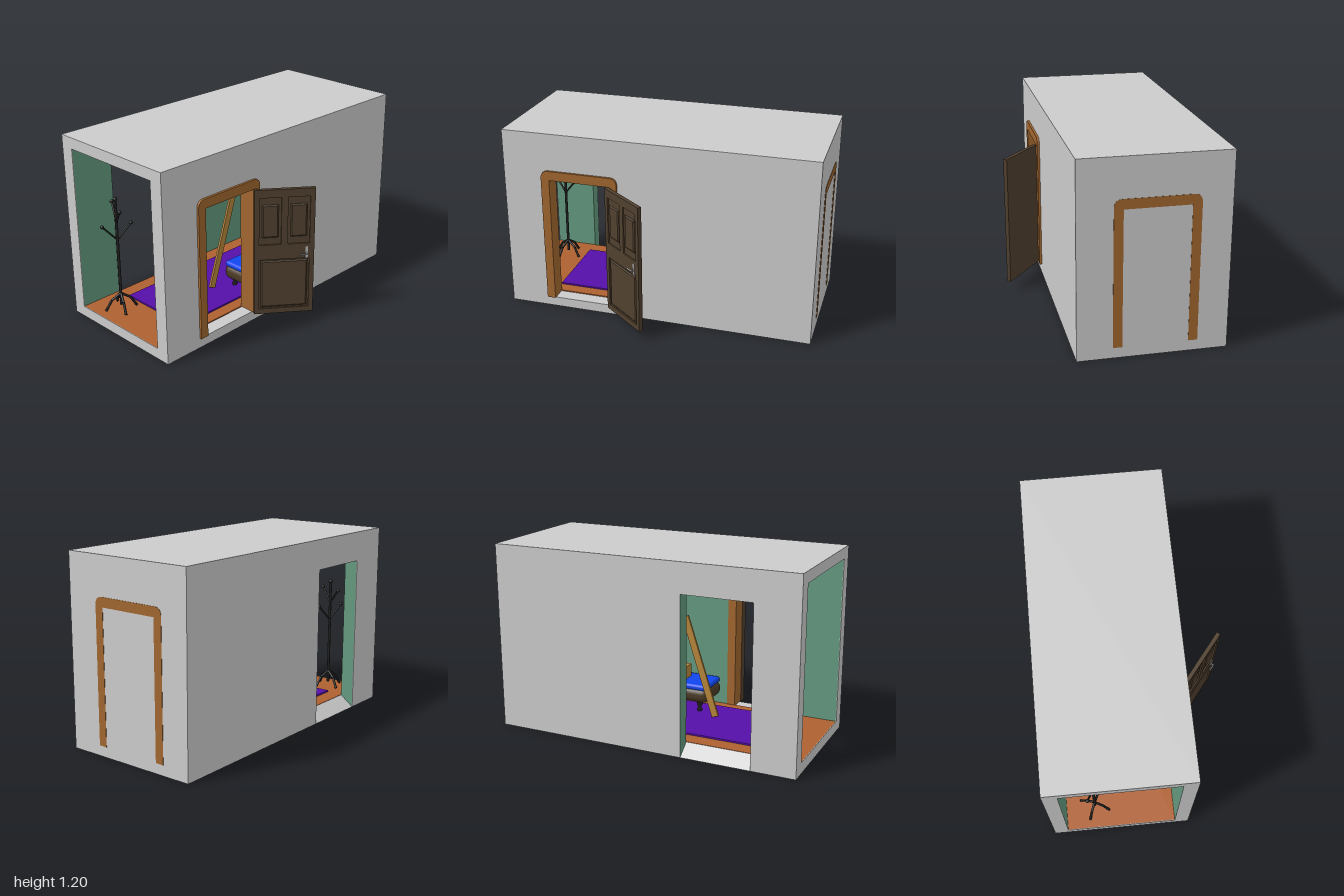
import * as THREE from 'three';
import { RoundedBoxGeometry } from 'three/addons/geometries/RoundedBoxGeometry.js';

const mat = (color) => new THREE.MeshStandardMaterial({ color });
const GREY = mat(0xcccccc), GREEN = mat(0x64997f), WOOD = mat(0xa1662f), DOOR = mat(0x50402e);
const FLOOR = mat(0xae602f), RUG = mat(0x5510a8), BLUE = mat(0x1146f0), DARK = mat(0x202020);
const TAN = mat(0xb8863c), BROWN = mat(0x4a3a24), SILVER = mat(0xb4b4b4);

function add(parent, name, geometry, material, x = 0, y = 0, z = 0) {
  const mesh = new THREE.Mesh(geometry, material);
  mesh.name = name;
  mesh.position.set(x, y, z);
  parent.add(mesh);
  return mesh;
}

// Box given by its two opposite corners
function block(parent, name, material, [x0, y0, z0], [x1, y1, z1]) {
  const g = new THREE.BoxGeometry(x1 - x0, y1 - y0, z1 - z0);
  return add(parent, name, g, material, (x0 + x1) / 2, (y0 + y1) / 2, (z0 + z1) / 2);
}

// Round bar between two points
function rod(parent, name, material, a, b, r0, r1 = r0) {
  const p = new THREE.Vector3(...a), q = new THREE.Vector3(...b), d = q.clone().sub(p);
  const bar = add(parent, name, new THREE.CylinderGeometry(r1, r0, d.length(), 12), material);
  bar.position.copy(p).add(q).multiplyScalar(0.5);
  bar.quaternion.setFromUnitVectors(new THREE.Vector3(0, 1, 0), d.normalize());
  return bar;
}

const poly = (pts) => pts.map(([x, y]) => new THREE.Vector2(x, y));
const extrude = (shape, depth) =>
  new THREE.ExtrudeGeometry(shape, { depth, bevelEnabled: false, curveSegments: 8 });
const rect = (x0, y0, x1, y1) => poly([[x0, y0], [x1, y0], [x1, y1], [x0, y1]]);

const Y0 = 0.01, Y1 = 1.21, ZB = -0.58, ZF = 0.31, T = 0.09, SKIN = 0.004;

// Long wall with an opening: thin grey outside, green body
function longWall(name, outline, zOuter, dir) {
  const wall = new THREE.Group();
  wall.name = name;
  const skinZ = dir > 0 ? zOuter - SKIN : zOuter;
  const bodyZ = dir > 0 ? zOuter - T : zOuter + SKIN;
  add(wall, name + 'Outside', extrude(outline, SKIN), GREY, 0, 0, skinZ);
  add(wall, name + 'Inside', extrude(outline, T - SKIN), GREEN, 0, 0, bodyZ);
  return wall;
}

// Door surround with rounded outer corners, centred on x = 0
function doorFrame(name, depth) {
  const w = 0.25, i = 0.195, b = 0.075, top = 0.97, r = 0.05;
  const s = new THREE.Shape();
  s.moveTo(-w, b);
  s.lineTo(-i, b);
  s.lineTo(-i, 0.91);
  s.lineTo(i, 0.91);
  s.lineTo(i, b);
  s.lineTo(w, b);
  s.lineTo(w, top - r);
  s.quadraticCurveTo(w, top, w - r, top);
  s.lineTo(-w + r, top);
  s.quadraticCurveTo(-w, top, -w, top - r);
  const g = extrude(s, depth);
  g.translate(0, 0, -depth);
  const frame = new THREE.Mesh(g, WOOD);
  frame.name = name;
  return frame;
}

function buildShell() {
  const shell = new THREE.Group();
  shell.name = 'room';

  const front = new THREE.Shape(rect(-0.996, Y0, 0.996, Y1));
  front.holes.push(new THREE.Path(rect(-0.72, 0.07, -0.27, 0.94)));
  shell.add(longWall('frontWall', front, ZF, 1));

  const back = new THREE.Shape(poly([[-0.996, Y0], [-0.72, Y0], [-0.72, 1.02], [-0.27, 1.02],
    [-0.27, Y0], [0.996, Y0], [0.996, Y1], [-0.996, Y1]]));
  shell.add(longWall('backWall', back, ZB, -1));

  // Solid end, and the grey rim around the open end
  block(shell, 'endWall', GREY, [0.99, Y0, ZB], [0.998, Y1, ZF]);
  block(shell, 'endWallInside', GREEN, [0.91, 0.075, ZB + T], [0.99, 1.14, ZF - T]);
  const rim = new THREE.Shape(rect(ZB, Y0, ZF, Y1));
  rim.holes.push(new THREE.Path(rect(ZB + T, 0.08, ZF - T, 1.14)));
  add(shell, 'openEndRim', extrude(rim, SKIN), GREY, -0.996).rotation.y = -Math.PI / 2;
  block(shell, 'ceiling', GREY, [-0.996, 1.14, ZB + T], [0.99, Y1, ZF - T]);
  block(shell, 'roof', GREY, [-1, Y1 - 0.002, ZB], [0.998, Y1 + 0.001, ZF]);
  block(shell, 'base', GREY, [-0.996, Y0, ZB + T], [0.99, 0.07, ZF - T]);
  block(shell, 'floor', FLOOR, [-0.996, 0.07, ZB + T], [0.92, 0.08, ZF - T]);
  block(shell, 'frontSill', GREY, [-0.72, 0.05, ZF - T], [-0.27, 0.073, ZF]);

  // Sloping step in the back opening
  const slope = new THREE.Shape(poly([[0, 0], [T, 0], [T, 0.068]]));
  const step = add(shell, 'backStep', extrude(slope, 0.45), GREY, -0.27, Y0, ZB);
  step.rotation.y = -Math.PI / 2;

  const doorway = doorFrame('frontDoorFrame', 0.11);
  doorway.position.set(-0.495, 0, 0.325);
  const endFrame = doorFrame('endDoorFrame', 0.1);
  endFrame.rotation.y = Math.PI / 2;
  endFrame.position.set(1, 0, -0.15);
  shell.add(doorway, endFrame);
  return shell;
}

// Open door, built along +x from the hinge with its panelled face towards +z
function buildDoor() {
  const door = new THREE.Group();
  door.name = 'door';
  const W = 0.37, panels = [[0.03, 0.55, 0.165, 0.86], [0.205, 0.55, 0.34, 0.86], [0.03, 0.11, 0.34, 0.45]];
  const face = new THREE.Shape(rect(0, 0.075, W, 0.912));
  for (const p of panels) face.holes.push(new THREE.Path(rect(...p)));
  block(door, 'doorCore', DOOR, [0, 0.075, -0.013], [W, 0.912, 0.004]);
  add(door, 'doorFace', extrude(face, 0.009), DOOR, 0, 0, 0.004);
  panels.forEach(([x0, y0, x1, y1], k) => {
    const m = k < 2 ? 0.025 : 0.018, my = k < 2 ? 0.055 : 0.018;
    // Raised centre of the panel with sloping sides
    const g = new THREE.ExtrudeGeometry(new THREE.Shape(rect(x0 + m, y0 + my, x1 - m, y1 - my)),
      { depth: 0.001, bevelThickness: 0.006, bevelSize: 0.008, bevelSegments: 1 });
    add(door, 'doorPanel', g, DOOR, 0, 0, 0.005);
  });
  block(door, 'handlePlate', SILVER, [0.315, 0.45, 0.013], [0.33, 0.53, 0.017]);
  rod(door, 'handleStem', SILVER, [0.322, 0.485, 0.015], [0.322, 0.485, 0.035], 0.005);
  rod(door, 'handleLever', SILVER, [0.325, 0.485, 0.034], [0.28, 0.485, 0.034], 0.005);
  door.position.set(-0.307, 0, 0.335);
  door.rotation.y = -0.67;
  return door;
}

function buildCoatRack() {
  const rack = new THREE.Group();
  rack.name = 'coatRack';
  rod(rack, 'pole', DARK, [0, 0.11, 0], [0, 0.82, 0], 0.009);
  add(rack, 'poleTop', new THREE.SphereGeometry(0.014, 12, 8), DARK, 0, 0.83, 0);
  for (let k = 0; k < 4; k++) {
    const a = k * Math.PI / 2 + 0.4, c = Math.cos(a), s = Math.sin(a);
    rod(rack, 'foot', DARK, [0, 0.19, 0], [0.06 * c, 0.15, 0.06 * s], 0.008);
    rod(rack, 'foot', DARK, [0.06 * c, 0.15, 0.06 * s], [0.1 * c, 0.085, 0.1 * s], 0.008);
    const y = k % 2 ? 0.68 : 0.56;
    rod(rack, 'arm', DARK, [0, y, 0], [0.09 * c, y + 0.1, 0.09 * s], 0.006);
    add(rack, 'armTip', new THREE.SphereGeometry(0.012, 12, 8), DARK, 0.09 * c, y + 0.1, 0.09 * s);
  }
  rack.position.set(-0.85, 0, -0.3);
  return rack;
}

function buildFurniture() {
  const set = new THREE.Group();
  set.name = 'furniture';
  block(set, 'rug', RUG, [-0.72, 0.08, -0.385], [0.5, 0.09, 0.14]);

  // Padded bench on turned legs
  add(set, 'benchBody', new RoundedBoxGeometry(0.75, 0.1, 0.25, 4, 0.045), BROWN, 0.165, 0.2, 0.085);
  add(set, 'benchCushion', new RoundedBoxGeometry(0.73, 0.04, 0.235, 3, 0.018), BLUE, 0.165, 0.255, 0.085);
  const leg = new THREE.LatheGeometry(poly([[0, 0], [0.012, 0], [0.018, 0.015], [0.01, 0.03],
    [0.018, 0.05], [0.018, 0.08]]), 12);
  for (const x of [-0.14, 0.47]) for (const z of [0, 0.17]) add(set, 'benchLeg', leg, DARK, x, 0.085, z);

  // Parcel with a ribbon, and a leaning plank
  block(set, 'parcel', TAN, [-0.02, 0.273, 0.03], [0.14, 0.36, 0.13]);
  block(set, 'ribbon', mat(0x6a58c0), [0.045, 0.272, 0.028], [0.075, 0.362, 0.132]);
  const plank = add(set, 'plank', new THREE.BoxGeometry(0.045, 0.68, 0.015), TAN, -0.175, 0.42, -0.07);
  plank.rotation.z = -0.32;
  return set;
}

export function createModel() {
  const model = new THREE.Group();
  model.name = 'furnishedRoom';
  model.add(buildShell(), buildDoor(), buildCoatRack(), buildFurniture());
  return model;
}
